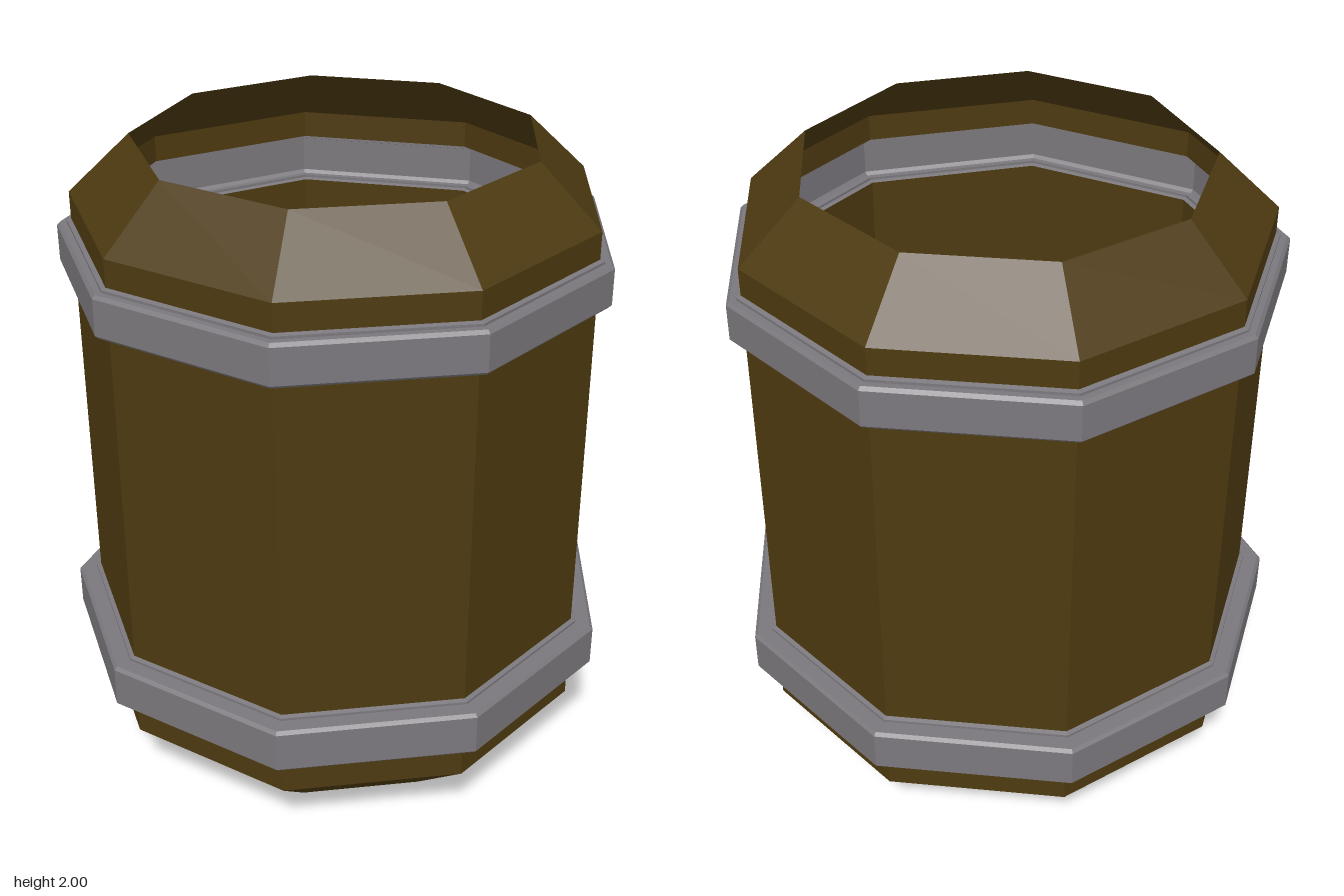
import * as THREE from 'three';

const SIDES = 9;

// Open nine-sided shell from [radius, height] pairs, one corner pointing to +x
function ringShell(name, profile, material) {
  const points = profile.map(([r, y]) => new THREE.Vector2(r, y));
  const geometry = new THREE.LatheGeometry(points, SIDES, Math.PI / 2).toNonIndexed();
  geometry.computeVertexNormals();
  const mesh = new THREE.Mesh(geometry, material);
  mesh.name = name;
  return mesh;
}

// Metal hoop: a hollow channel with bevelled lips, open towards the inside
function hoop(name, wall, outer, bottom, top, material) {
  const lip = wall + 0.014;
  return ringShell(name, [
    [wall, bottom - 0.012],
    [lip, bottom - 0.008],
    [lip, bottom],
    [outer - 0.01, bottom],
    [outer, bottom + 0.01],
    [outer, top - 0.01],
    [outer - 0.01, top],
    [lip, top],
    [lip, top + 0.008],
    [wall, top + 0.012],
  ], material);
}

export function createModel() {
  const wood = new THREE.MeshStandardMaterial({ color: 0x4d3a10, flatShading: true, side: THREE.DoubleSide });
  wood.name = 'dark wood';
  const metal = new THREE.MeshStandardMaterial({ color: 0x7b787d, flatShading: true, side: THREE.DoubleSide });
  metal.name = 'grey metal';

  const WALL = 0.794;
  const barrel = new THREE.Group();
  barrel.name = 'barrel';

  // Wooden sections between the hoops, open at both ends
  barrel.add(
    ringShell('lowerStaves', [[0.541, 0], [WALL, 0.225], [WALL, 0.343]], wood),
    ringShell('middleStaves', [[WALL, 0.512], [WALL, 1.583]], wood),
    ringShell('upperStaves', [[WALL, 1.737], [WALL, 1.82], [0.606, 2]], wood),
  );

  // Hoops, the lower one slightly wider
  barrel.add(
    hoop('lowerHoop', WALL, 0.866, 0.355, 0.5, metal),
    hoop('upperHoop', WALL, 0.838, 1.595, 1.725, metal),
  );

  // Centre the odd-sided outline on x
  barrel.position.x = -0.026;

  const model = new THREE.Group();
  model.name = 'openBarrel';
  model.add(barrel);
  return model;
}
